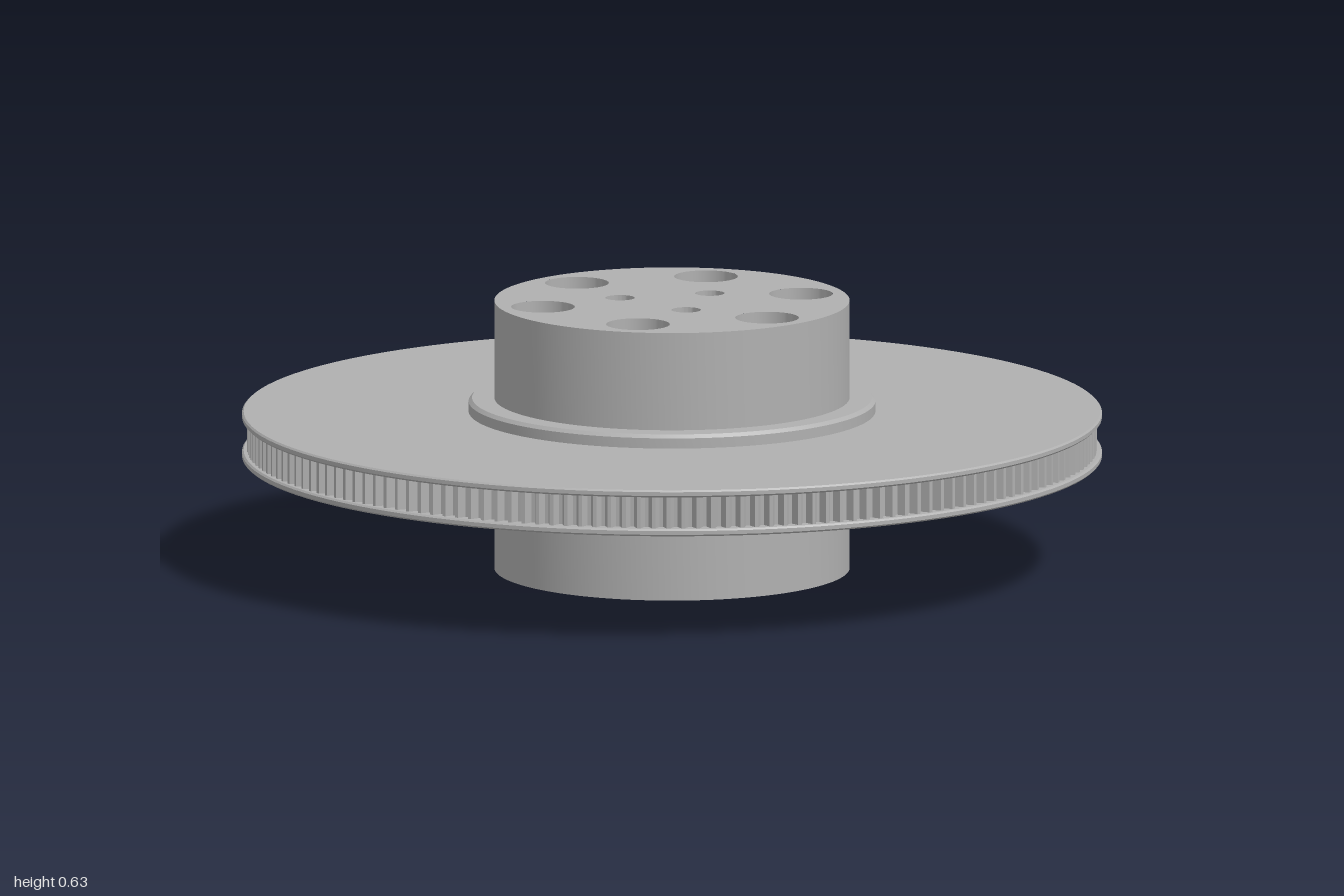
import * as THREE from 'three';
import { toCreasedNormals } from 'three/addons/utils/BufferGeometryUtils.js';

const HEIGHT = 0.633, MID = HEIGHT / 2, HUB_R = 0.413;
const BORE_R = 0.034, COUNTERBORE_R = 0.074, BORE_DEPTH = 0.22;
const TEETH = 180;

const ring = (count, radius, start) => Array.from({ length: count }, (_, i) => {
  const a = start + (i / count) * Math.PI * 2;
  return [radius * Math.cos(a), radius * Math.sin(a)];
});

export function createModel() {
  const model = new THREE.Group();
  const steel = new THREE.MeshStandardMaterial({ color: 0xb0b0b0 });
  steel.name = 'machined steel';

  const add = (name, geometry) => {
    const mesh = new THREE.Mesh(geometry, steel);
    mesh.name = name;
    model.add(mesh);
    return mesh;
  };
  const lathe = (points, segments) => toCreasedNormals(
    new THREE.LatheGeometry(points.map(([r, y]) => new THREE.Vector2(r, y)), segments), 0.5);

  // Turned halves: hub, chamfered collar, disc face and rim lip
  const half = [[HUB_R, 0], [HUB_R, 0.23], [0.465, 0.23], [0.473, 0.238], [0.473, 0.262],
    [0.996, 0.262], [1, 0.266], [1, 0.275], [0.996, 0.279], [0.96, 0.279]];
  add('lowerBody', lathe(half, 128));
  add('upperBody', lathe(half.map(([r, y]) => [r, HEIGHT - y]).reverse(), 128));

  // Toothed band between the lips
  const band = new THREE.CylinderGeometry(1, 1, HEIGHT - 2 * 0.279, TEETH * 4, 1, true);
  const pos = band.attributes.position;
  for (let i = 0; i < pos.count; i++) {
    const r = (i % (TEETH * 4 + 1)) % 4 < 2 ? 0.988 : 0.968;
    pos.setX(i, pos.getX(i) * r);
    pos.setZ(i, pos.getZ(i) * r);
  }
  const teeth = band.toNonIndexed();
  teeth.computeVertexNormals();
  add('rimTeeth', teeth).position.y = MID;

  // Hub end faces with bolt holes
  const outer = ring(6, 0.311, Math.PI / 6);
  const inner = ring(3, 0.125, 0);
  const face = (outerR, innerR) => {
    const shape = new THREE.Shape().absarc(0, 0, HUB_R, 0, Math.PI * 2, false);
    for (const [list, r] of [[outer, outerR], [inner, innerR]]) {
      for (const [x, y] of list) {
        shape.holes.push(new THREE.Path().absarc(x, y, r, 0, Math.PI * 2, true));
      }
    }
    return new THREE.ShapeGeometry(shape, 64);
  };
  add('hubTopFace', face(COUNTERBORE_R, BORE_R).rotateX(-Math.PI / 2)).position.y = HEIGHT;
  add('hubBottomFace', face(BORE_R, COUNTERBORE_R).rotateX(Math.PI / 2));

  // Stepped bores: outer ones widen at the top, inner ones at the bottom
  const shelf = HEIGHT - BORE_DEPTH;
  const topBore = lathe([[COUNTERBORE_R, HEIGHT], [COUNTERBORE_R, shelf],
    [BORE_R, shelf], [BORE_R, 0]], 64);
  const bottomBore = lathe([[BORE_R, HEIGHT], [BORE_R, BORE_DEPTH],
    [COUNTERBORE_R, BORE_DEPTH], [COUNTERBORE_R, 0]], 64);
  outer.forEach(([x, z], i) => add(`outerBore${i + 1}`, topBore).position.set(x, 0, z));
  inner.forEach(([x, z], i) => add(`innerBore${i + 1}`, bottomBore).position.set(x, 0, z));

  return model;
}
